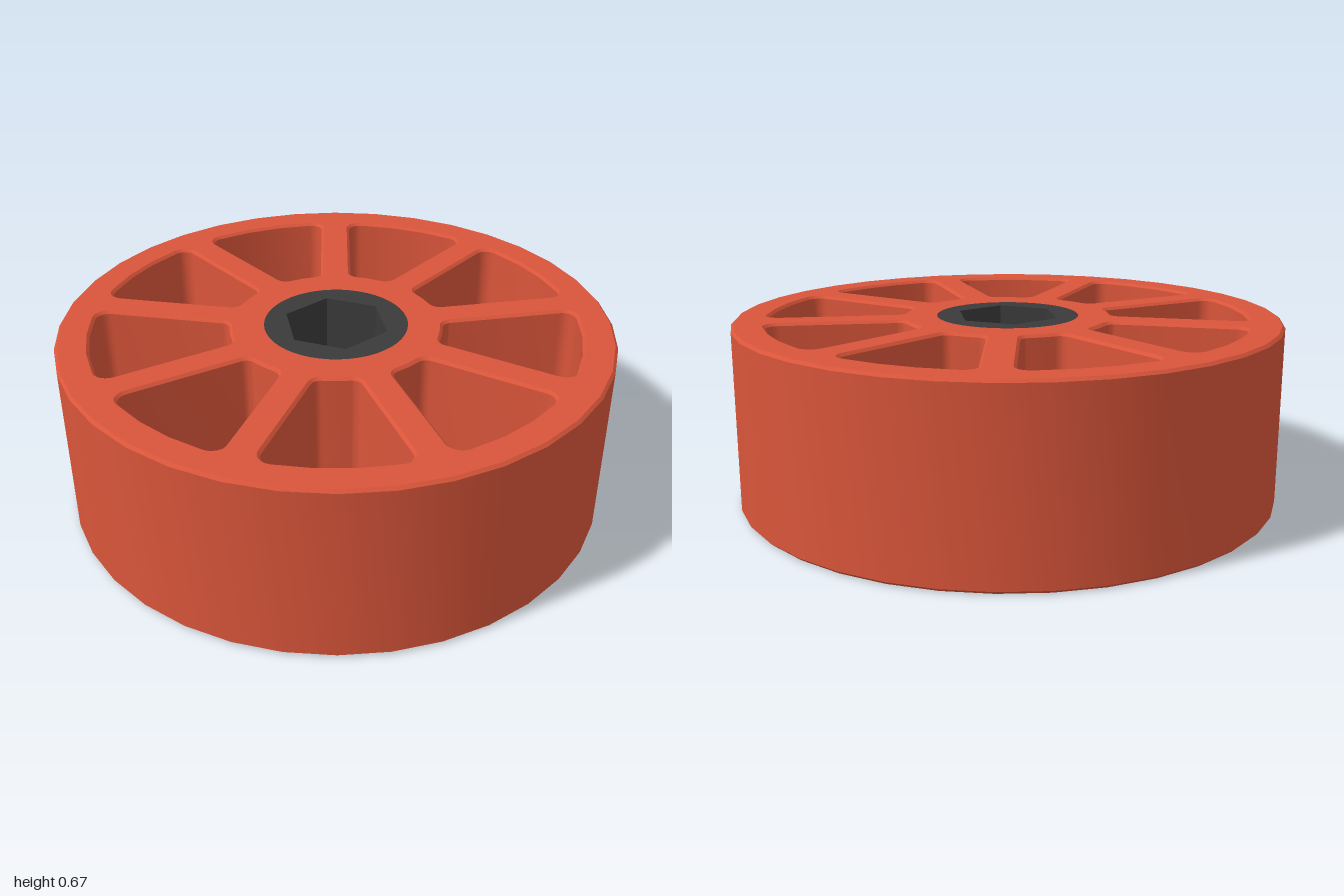
import * as THREE from 'three';
import { toCreasedNormals } from 'three/addons/utils/BufferGeometryUtils.js';

const HEIGHT = 0.665, BEVEL = 0.01;
const WINDOWS = 9, HALF_SPOKE = 0.058;
const RIM_IN = 0.88, HUB_OUT = 0.385, FILLET_OUT = 0.045, FILLET_IN = 0.035;
const { PI } = Math;

// Points along an arc around (cx, cy)
function arc(cx, cy, r, from, to, segments) {
  return Array.from({ length: segments + 1 }, (_, i) => {
    const a = from + (to - from) * i / segments;
    return new THREE.Vector2(cx + r * Math.cos(a), cy + r * Math.sin(a));
  });
}

function ring(r, sides) {
  return arc(0, 0, r, 0, 2 * PI, sides).slice(0, sides);
}

// Outline of one opening between two parallel-sided spokes, with filleted corners
function windowOutline(centre) {
  const s1 = centre - PI / WINDOWS, s2 = centre + PI / WINDOWS;
  const ro = RIM_IN - FILLET_OUT, ri = HUB_OUT + FILLET_IN;
  const bo = Math.asin((HALF_SPOKE + FILLET_OUT) / ro);
  const bi = Math.asin((HALF_SPOKE + FILLET_IN) / ri);
  const fillet = (r, at, f, from, to) =>
    arc(r * Math.cos(at), r * Math.sin(at), f, from, to, 6);
  return [
    ...fillet(ro, s1 + bo, FILLET_OUT, s1 - PI / 2, s1 + bo),
    ...arc(0, 0, RIM_IN, s1 + bo, s2 - bo, 3).slice(1, -1),
    ...fillet(ro, s2 - bo, FILLET_OUT, s2 - bo, s2 + PI / 2),
    ...fillet(ri, s2 - bi, FILLET_IN, s2 + PI / 2, s2 - bi + PI),
    ...arc(0, 0, HUB_OUT, s2 - bi, s1 + bi, 2).slice(1, -1),
    ...fillet(ri, s1 + bi, FILLET_IN, s1 + bi + PI, s1 + 1.5 * PI),
  ];
}

// Upright extrusion of a pierced outline, standing on y = 0
function pierced(name, outline, holes, bevel, color) {
  const shape = new THREE.Shape(outline);
  shape.holes = holes.map((points) => new THREE.Path(points));
  const geometry = new THREE.ExtrudeGeometry(shape, {
    depth: HEIGHT - 2 * bevel,
    bevelEnabled: bevel > 0,
    bevelThickness: bevel,
    bevelSize: bevel,
    bevelOffset: -bevel,
    bevelSegments: 1,
  });
  geometry.rotateX(-PI / 2).translate(0, bevel, 0);
  const mesh = new THREE.Mesh(
    toCreasedNormals(geometry, 0.5),
    new THREE.MeshStandardMaterial({ color })
  );
  mesh.name = name;
  return mesh;
}

export function createModel() {
  const model = new THREE.Group();
  model.name = 'spokedWheel';

  // Rim, spokes and hub wall in one piece; one opening faces the back
  const holes = [ring(0.25, 48)];
  for (let i = 0; i < WINDOWS; i++) {
    holes.push(windowOutline(PI / 2 + i * 2 * PI / WINDOWS));
  }
  model.add(pierced('wheelBody', ring(1, 36), holes, BEVEL, 0xd9553a));

  // Dark bushing with a hexagonal bore
  model.add(pierced('hexBushing', ring(0.26, 48), [ring(0.193, 6)], 0, 0x3a3a3a));

  return model;
}
